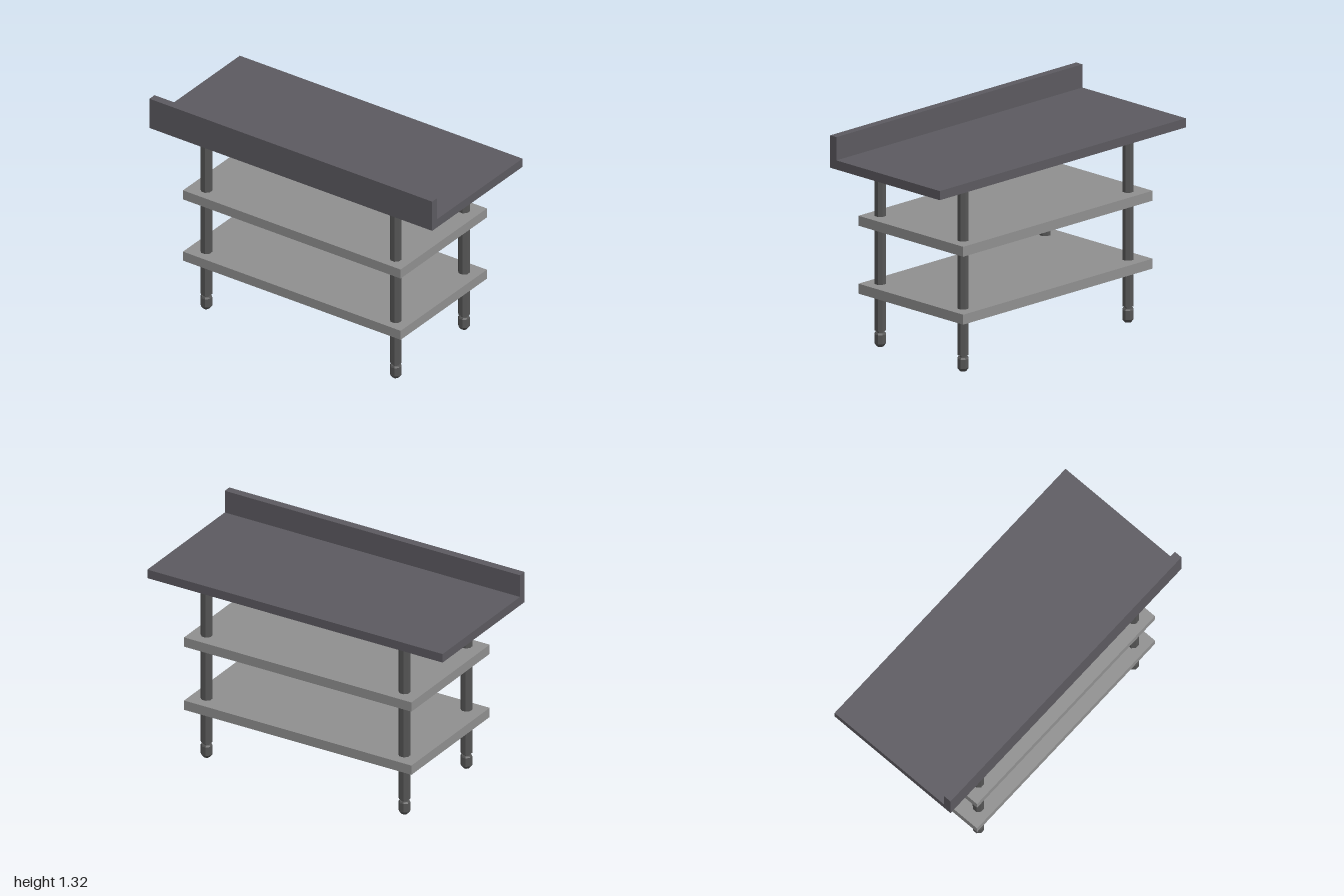
import * as THREE from 'three';

const topMat = new THREE.MeshStandardMaterial({ color: 0x5c5a60 });
const shelfMat = new THREE.MeshStandardMaterial({ color: 0x909090 });
const legMat = new THREE.MeshStandardMaterial({ color: 0x555555, flatShading: true });

function add(parent, name, geometry, material, x = 0, y = 0, z = 0) {
  const mesh = new THREE.Mesh(geometry, material);
  mesh.name = name;
  mesh.position.set(x, y, z);
  parent.add(mesh);
  return mesh;
}

// Octagonal turned part with its flats facing the axes; profile runs bottom to top
function octagonal(profile) {
  const scale = 1 / Math.cos(Math.PI / 8);
  const points = profile.map(([r, y]) => new THREE.Vector2(r * scale, y));
  return new THREE.LatheGeometry(points, 8, Math.PI / 8);
}

export function createModel() {
  const model = new THREE.Group();
  model.name = 'workTable';

  // Worktop with raised splashback: an L profile run along z
  const profile = new THREE.Shape([
    [-0.447, 1.125], [0.445, 1.125], [0.445, 1.18],
    [-0.397, 1.18], [-0.397, 1.32], [-0.447, 1.32],
  ].map(([x, y]) => new THREE.Vector2(x, y)));
  const worktop = new THREE.ExtrudeGeometry(profile, { depth: 2, bevelEnabled: false });
  add(model, 'worktopWithSplashback', worktop, topMat, 0, 0, -1);

  // Two shelves
  const shelf = new THREE.BoxGeometry(0.852, 0.06, 1.54);
  [['lowerShelf', 0.348], ['upperShelf', 0.757]].forEach(([name, y]) =>
    add(model, name, shelf, shelfMat, -0.017, y, 0.004));

  // Four legs, each with a narrow neck and a chamfered foot
  const post = octagonal([[0, 0.098], [0.0325, 0.098], [0.0325, 1.126], [0, 1.126]]);
  const neck = octagonal([[0.02, 0.075], [0.02, 0.105]]);
  const foot = octagonal([[0, 0], [0.018, 0], [0.0325, 0.02], [0.0325, 0.075], [0.028, 0.084], [0, 0.084]]);
  for (const [side, x] of [['right', -0.36], ['left', 0.314]]) {
    for (const [end, z] of [['Front', 0.68], ['Back', -0.66]]) {
      const leg = new THREE.Group();
      leg.name = `${side}${end}Leg`;
      leg.position.set(x, 0, z);
      add(leg, 'post', post, legMat);
      add(leg, 'neck', neck, legMat);
      add(leg, 'foot', foot, legMat);
      model.add(leg);
    }
  }
  return model;
}
